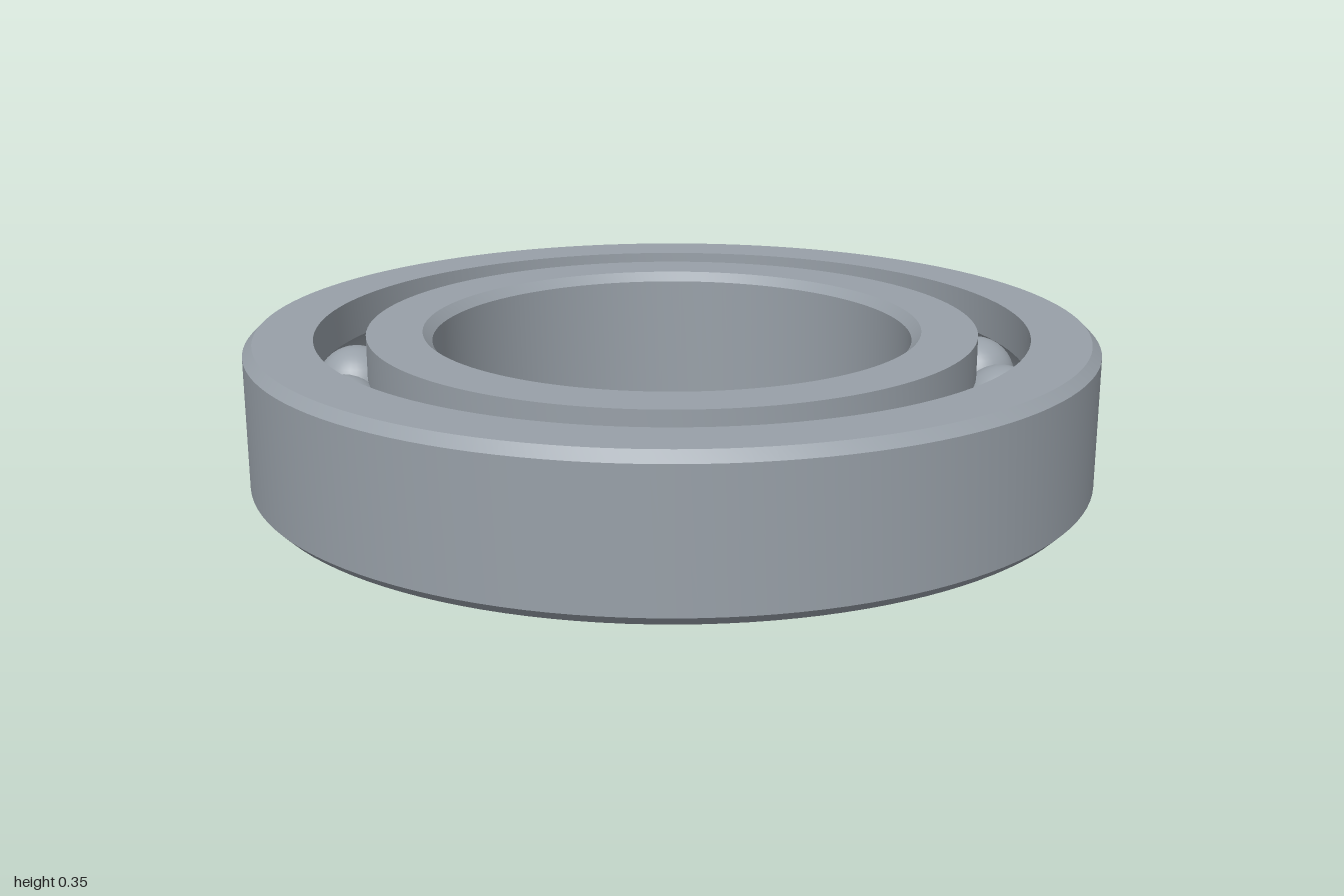
import * as THREE from 'three';
import { toCreasedNormals } from 'three/addons/utils/BufferGeometryUtils.js';

const H = 0.352, MID = H / 2, CH = 0.022;
const BORE = 0.567, INNER_LAND = 0.72, OUTER_LAND = 0.84, RIM = 1;
const PITCH = 0.78, BALL = 0.097, BALLS = 18;

// Arc of the raceway groove in (radius, height); side +1 opens inwards on the outer ring
function groove(landRadius, side) {
  const r = BALL + 0.001;
  const half = Math.acos(Math.abs(landRadius - PITCH) / r);
  const points = [];
  for (let i = 0; i <= 14; i++) {
    const a = half * (1 - i / 7) * side;
    points.push([PITCH + side * r * Math.cos(a), MID + side * r * Math.sin(a) * side]);
  }
  return points;
}

// Closed profile, counter-clockwise, turned around the y axis
function ring(name, profile, material) {
  const points = [...profile, profile[0]].map(([x, y]) => new THREE.Vector2(x, y));
  const geometry = toCreasedNormals(new THREE.LatheGeometry(points, 128), 0.45);
  const mesh = new THREE.Mesh(geometry, material);
  mesh.name = name;
  return mesh;
}

export function createModel() {
  const model = new THREE.Group();
  model.name = 'ballBearing';
  const steel = new THREE.MeshStandardMaterial({ color: 0x98a0a8 });
  steel.name = 'steel grey';

  // Outer ring: chamfered rim, groove on its inside (walked top to bottom)
  model.add(ring('outerRing', [
    [OUTER_LAND, 0], [RIM - CH, 0], [RIM, CH], [RIM, H - CH], [RIM - CH, H], [OUTER_LAND, H],
    ...groove(OUTER_LAND, 1),
  ], steel));

  // Inner ring: chamfered bore, groove on its outside (walked bottom to top)
  model.add(ring('innerRing', [
    [INNER_LAND, H], [BORE + CH, H], [BORE, H - CH], [BORE, CH], [BORE + CH, 0], [INNER_LAND, 0],
    ...groove(INNER_LAND, -1),
  ], steel));

  // Balls spaced evenly around the raceway
  const balls = new THREE.Group();
  balls.name = 'balls';
  const ballGeometry = new THREE.SphereGeometry(BALL, 32, 20);
  for (let i = 0; i < BALLS; i++) {
    const a = THREE.MathUtils.degToRad(2) + (i / BALLS) * Math.PI * 2;
    const ball = new THREE.Mesh(ballGeometry, steel);
    ball.name = 'ball';
    ball.position.set(Math.sin(a) * PITCH, MID, -Math.cos(a) * PITCH);
    balls.add(ball);
  }
  model.add(balls);
  return model;
}
